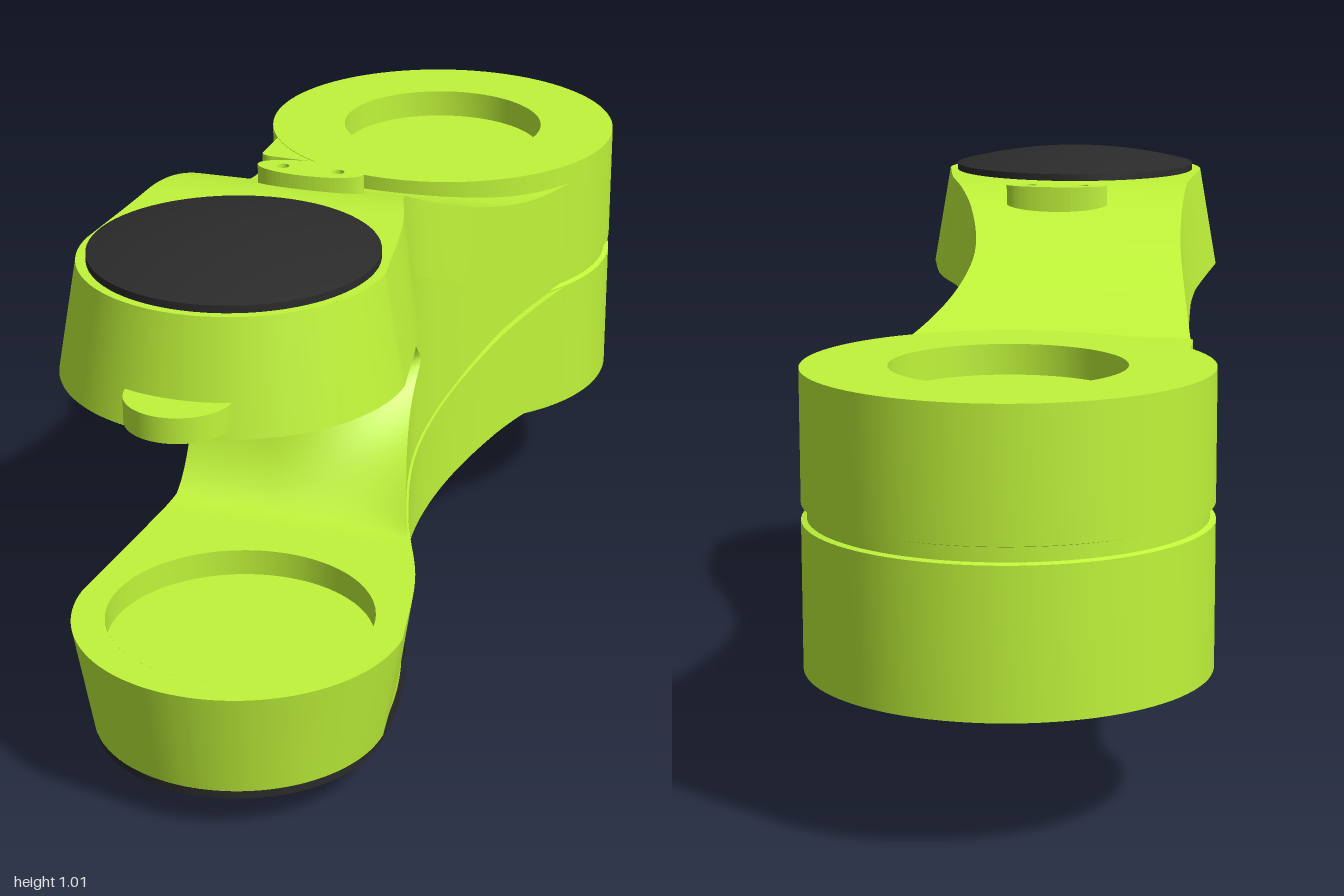
import * as THREE from 'three';
import { toCreasedNormals } from 'three/addons/utils/BufferGeometryUtils.js';

const green = new THREE.MeshStandardMaterial({ color: 0xc1f53a, side: THREE.DoubleSide });
const black = new THREE.MeshStandardMaterial({ color: 0x2b2b2b, side: THREE.DoubleSide });
const lerp = THREE.MathUtils.lerp;
const smooth = THREE.MathUtils.smoothstep;

const HEAD_Z = 0.64, HEAD_R = 0.3, DRUM_Z = -0.645, DRUM_R = 0.355, FLAT_Z = 0.3, MIRROR_Y = 1.055;

function mesh(name, geometry, material = green) {
  const m = new THREE.Mesh(geometry, material);
  m.name = name;
  return m;
}

// Surface patch from f(u, v) -> [x, y, z]; it faces du x dv
function patch(nu, nv, f) {
  const pos = [], idx = [];
  for (let j = 0; j <= nv; j++)
    for (let i = 0; i <= nu; i++) pos.push(...f(i / nu, j / nv));
  for (let j = 0; j < nv; j++)
    for (let i = 0; i < nu; i++) {
      const a = j * (nu + 1) + i, b = a + 1, c = a + nu + 1, d = c + 1;
      idx.push(a, b, d, a, d, c);
    }
  const g = new THREE.BufferGeometry();
  g.setAttribute('position', new THREE.Float32BufferAttribute(pos, 3));
  g.setIndex(idx);
  g.computeVertexNormals();
  return g;
}

// Smooth curve through [z, x] points
function curve(pts) {
  const slope = i => {
    const a = pts[Math.max(i - 1, 0)], b = pts[Math.min(i + 1, pts.length - 1)];
    return (b[1] - a[1]) / (b[0] - a[0]);
  };
  return z => {
    let i = 0;
    while (i < pts.length - 2 && z > pts[i + 1][0]) i++;
    const [z0, x0] = pts[i], [z1, x1] = pts[i + 1], h = z1 - z0, t = (z - z0) / h;
    const m0 = slope(i) * h, m1 = slope(i + 1) * h, t2 = t * t, t3 = t2 * t;
    return (2 * t3 - 3 * t2 + 1) * x0 + (t3 - 2 * t2 + t) * m0 + (3 * t2 - 2 * t3) * x1 + (t3 - t2) * m1;
  };
}

// Plan outline: the waist is narrower on the +x side
const leftWaist = curve([[-0.645, -0.353], [-0.5, -0.328], [-0.35, -0.302], [-0.1, -0.278], [0.1, -0.268], [0.35, -0.28], [0.64, -0.3]]);
const rightWaist = curve([[-0.645, 0.353], [-0.5, 0.32], [-0.4, 0.286], [-0.25, 0.222], [-0.08, 0.163], [0.05, 0.148], [0.2, 0.18], [0.42, 0.258], [0.64, 0.3]]);
const cap = z => Math.sqrt(Math.max(HEAD_R ** 2 - (z - HEAD_Z) ** 2, 0));
const left = z => (z > HEAD_Z ? -cap(z) : leftWaist(z));
const right = z => (z > HEAD_Z ? cap(z) : rightWaist(z));

// Inner height of the upper arm
const innerY = z => lerp(0.545, 0.77, smooth(z, -0.48, FLAT_Z));

// Rows along z, closer together round the nose
const rowZ = v => (v < 0.6 ? lerp(DRUM_Z, HEAD_Z, v / 0.6)
  : HEAD_Z + HEAD_R * Math.sin(((v - 0.6) / 0.4) * 1.55));

// rearY is the height of the outer face where it meets the drum
function makeArm(name, rearY) {
  const arm = new THREE.Group();
  arm.name = name;
  const outerY = z => lerp(rearY, 0.97, smooth(z, -0.4, 0.4));

  // Point at height fraction t, drawn in towards the outer face
  const armPoint = (x, z, t) => {
    const k = 0.115 * t;
    return [x * (1 - k * smooth(z, -0.3, 0.5)), lerp(innerY(z), outerY(z), t),
      z > HEAD_Z ? HEAD_Z + (z - HEAD_Z) * (1 - k) : z];
  };

  // The outer face dips inside the drum to stay clear of its bore
  arm.add(mesh('armOuterFace', patch(32, 100, (u, v) => {
    const z = rowZ(v), p = armPoint(lerp(right(z), left(z), u), z, 1);
    if (Math.hypot(p[0], z - DRUM_Z) < 0.29) p[1] = 0.6;
    return p;
  })));
  arm.add(mesh('armSideWall', patch(180, 8, (u, v) => {
    const z = rowZ(u < 0.5 ? u * 2 : 2 - u * 2);
    return armPoint(u < 0.5 ? left(z) : right(z), z, v);
  })));
  arm.add(mesh('armInnerFace', patch(8, 50, (u, v) => {
    const z = lerp(DRUM_Z, FLAT_Z, v);
    return armPoint(lerp(left(z), right(z), u), z, 0);
  })));

  // Flat head face with a round recess
  const pts = [];
  for (let i = 0; i <= 80; i++) {
    const s = i / 40, w = s <= 1 ? s : 2 - s;
    const z = w < 0.4 ? lerp(FLAT_Z, HEAD_Z, w / 0.4)
      : HEAD_Z + HEAD_R * Math.sin(((w - 0.4) / 0.6) * 1.55);
    pts.push(new THREE.Vector2(s <= 1 ? right(z) : left(z), z));
  }
  const face = new THREE.Shape(pts);
  face.holes.push(new THREE.Path().absarc(0, HEAD_Z, 0.24, 0, Math.PI * 2, true));
  arm.add(mesh('headFace', new THREE.ShapeGeometry(face, 48).rotateX(Math.PI / 2).translate(0, 0.77, 0)));
  arm.add(mesh('headRecessWall', new THREE.CylinderGeometry(0.24, 0.24, 0.05, 64, 1, true).translate(0, 0.795, HEAD_Z)));
  arm.add(mesh('headRecessFloor', new THREE.CircleGeometry(0.24, 64).rotateX(Math.PI / 2).translate(0, 0.82, HEAD_Z)));
  return arm;
}

// Domed pad: rim from y0 to y1, then a dome to y2; a longer back is fuller and sinks towards its end
function pad(name, rx, rFront, rBack, y0, y1, y2, material) {
  const extra = rBack - rFront;
  const at = (a, r, y) => {
    const c = Math.cos(a), s = Math.sin(a), isBack = s < 0;
    const width = isBack ? Math.sign(c) * Math.abs(c) ** (1 - extra) : c;
    return [rx * r * width, y - (isBack ? 0.1 * extra * (r * s) ** 2 : 0),
      HEAD_Z + (isBack ? rBack : rFront) * r * s];
  };
  const g = new THREE.Group();
  g.name = name;
  g.add(mesh('padRim', patch(72, 1, (u, v) => at(-u * Math.PI * 2, 1, lerp(y0, y1, v))), material));
  g.add(mesh('padDome', patch(72, 12, (u, v) => {
    const r = 1 - v;
    return at(-u * Math.PI * 2, r, lerp(y1, y2, 1 - r * r));
  }), material));
  return g;
}

// Web joining the arms, ending in a fork crotch that is swept back on the +x side
function makeWeb() {
  const web = new THREE.Group();
  web.name = 'forkWeb';
  const back = -0.62;
  const crotchZ = (f, t) => {
    const sweep = Math.max(0, (f - 0.4) / 0.6) ** 2, s = Math.abs(2 * t - 1);
    const flare = lerp(1 - Math.sqrt(1 - s * s), s ** 1.4, sweep);
    return lerp(0.155 * (1 - sweep), 0.28, flare);
  };
  const height = (z, t) => lerp(MIRROR_Y - innerY(z), innerY(z), t);
  const trim = z => 0.005 + 0.007 * (1 - smooth(z, -0.35, -0.1));
  const spread = v => 0.5 - 0.5 * Math.cos(v * Math.PI);
  web.add(mesh('crotch', patch(32, 40, (u, v) => {
    const t = spread(v), z = crotchZ(u, t), zl = crotchZ(0, t), zr = crotchZ(1, t);
    return [lerp(left(zl) + trim(zl), right(zr) - trim(zr), u), height(z, t), z];
  })));
  web.add(mesh('webLeftWall', patch(40, 40, (u, v) => {
    const t = spread(v), z = lerp(back, crotchZ(0, t), u);
    return [left(z) + trim(z), height(z, t), z];
  })));
  web.add(mesh('webRightWall', patch(40, 40, (u, v) => {
    const t = spread(v), z = lerp(crotchZ(1, t), back, u);
    return [right(z) - trim(z), height(z, t), z];
  })));
  return web;
}

export function createModel() {
  const model = new THREE.Group();
  model.name = 'forkedArm';

  // Pivot drum with a seam groove and a shallow bore at each end
  const groove = DRUM_R - 0.01;
  const profile = [[0, 0.31], [0.205, 0.31], [0.205, 0.25], [DRUM_R, 0.25], [DRUM_R, 0.512], [groove, 0.515],
    [groove, 0.54], [DRUM_R, 0.543], [DRUM_R, 0.775], [0.205, 0.775], [0.205, 0.72], [0, 0.72]]
    .map(p => new THREE.Vector2(...p));
  const drum = mesh('pivotDrum', toCreasedNormals(new THREE.LatheGeometry(profile, 96), 0.5));
  drum.position.z = DRUM_Z;
  model.add(drum);

  // Arms, the lower one mirrored
  const lower = makeArm('lowerArm', 0.78);
  lower.scale.y = -1;
  lower.position.y = MIRROR_Y;
  model.add(makeArm('upperArm', 0.735), lower, makeWeb());

  // Dark pads; the lower one is longer and sits on a plinth
  model.add(pad('upperPad', 0.248, 0.25, 0.245, 0.96, 0.983, 1.015, black));
  const lowerPad = new THREE.Group();
  lowerPad.name = 'lowerPad';
  lowerPad.add(pad('padPlinth', 0.255, 0.255, 0.47, -0.14, -0.08, -0.075, green));
  lowerPad.add(pad('padCover', 0.262, 0.262, 0.48, -0.085, -0.068, -0.001, black));
  lowerPad.scale.y = -1;
  model.add(lowerPad);

  // Half-round tab on the nose
  const tab = mesh('noseTab', new THREE.CylinderGeometry(0.092, 0.092, 0.045, 40, 1, false, -Math.PI / 2, Math.PI));
  tab.position.set(0, 0.808, 0.908);
  model.add(tab);

  // Oval boss with two small holes
  const oval = new THREE.Shape().absellipse(0, 0, 0.1, 0.038, 0, Math.PI * 2);
  for (const x of [-0.052, 0.052])
    oval.holes.push(new THREE.Path().absarc(x, 0, 0.011, 0, Math.PI * 2, true));
  const boss = mesh('ovalBoss', new THREE.ExtrudeGeometry(oval, { depth: 0.08, bevelEnabled: false, curveSegments: 32 }));
  boss.rotation.x = -Math.PI / 2;
  boss.position.set(0, 0.9, 0.232);
  model.add(boss);

  // Stop lug at the drum's edge, with one rounded corner
  const lug = new THREE.Shape();
  lug.moveTo(-0.3, 0.48).lineTo(-0.3, 0.36).quadraticCurveTo(-0.295, 0.345, -0.27, 0.345)
    .lineTo(-0.175, 0.34).quadraticCurveTo(-0.19, 0.46, -0.3, 0.48);
  const stop = mesh('stopLug', new THREE.ExtrudeGeometry(lug, { depth: 0.08, bevelEnabled: false }));
  stop.rotation.x = -Math.PI / 2;
  stop.position.y = 0.694;
  model.add(stop);

  return model;
}
